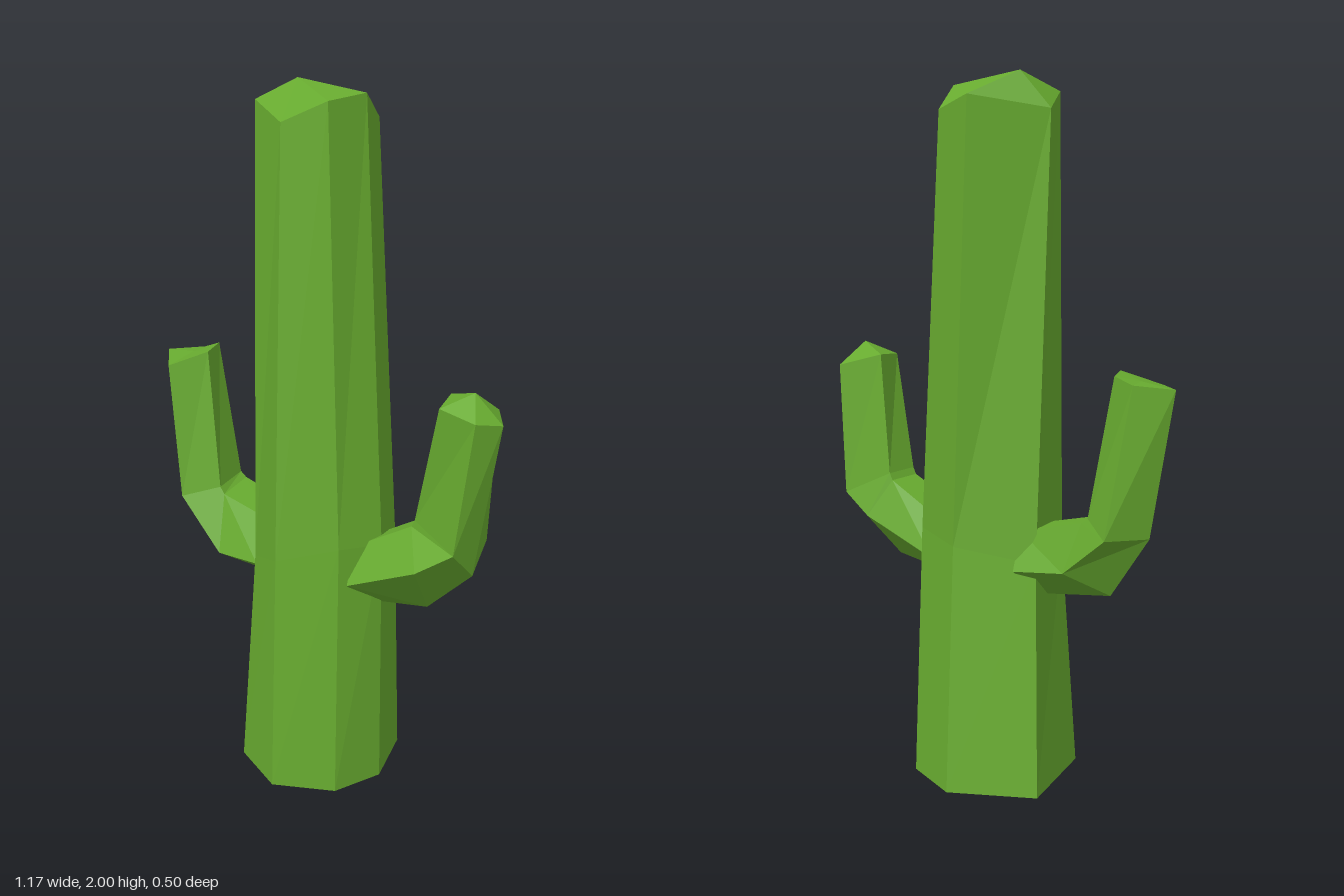
import * as THREE from 'three';

// Faceted skin over a stack of counter-clockwise rings, closed by a tip and a flat base
function loft(name, rings, tip, material) {
  const pos = [];
  const tri = (...corners) => corners.forEach((c) => pos.push(...c));
  const middle = (ring) => [0, 1, 2].map((k) => ring.reduce((sum, p) => sum + p[k], 0) / ring.length);
  const n = rings[0].length;
  const last = rings[rings.length - 1];
  const root = middle(rings[0]);
  for (let i = 0; i < n; i++) {
    const j = (i + 1) % n;
    for (let r = 0; r < rings.length - 1; r++) {
      const lo = rings[r], up = rings[r + 1];
      tri(lo[i], lo[j], up[j]);
      tri(lo[i], up[j], up[i]);
    }
    tri(last[i], last[j], tip || middle(last));
    tri(rings[0][j], rings[0][i], root);
  }
  const geometry = new THREE.BufferGeometry();
  geometry.setAttribute('position', new THREE.Float32BufferAttribute(pos, 3));
  geometry.computeVertexNormals(); // unshared corners give flat facets
  const mesh = new THREE.Mesh(geometry, material);
  mesh.name = name;
  return mesh;
}

export function createModel() {
  const green = new THREE.MeshStandardMaterial({ color: 0x67aa2f });
  green.name = 'cactus green';
  const group = new THREE.Group();
  group.name = 'cactus';

  // Seven-sided trunk: foot, waist at arm height, shoulder
  const trunk = [
    [[0, 0, 0.25], [0.17, 0, 0.17], [0.225, 0, 0.02], [0.16, 0, -0.18],
      [-0.01, 0, -0.25], [-0.24, 0, -0.13], [-0.18, 0, 0.16]],
    [[-0.005, 0.7, 0.216], [0.162, 0.75, 0.145], [0.222, 0.74, 0.02], [0.18, 0.72, -0.115],
      [0.02, 0.7, -0.175], [-0.19, 0.66, -0.07], [-0.138, 0.66, 0.14]],
    [[-0.02, 1.9, 0.155], [0.095, 1.955, 0.105], [0.13, 1.97, -0.02], [0.1, 1.9, -0.125],
      [-0.03, 1.935, -0.17], [-0.19, 1.9, -0.01], [-0.14, 1.95, 0.108]],
  ];
  group.add(loft('trunk', trunk, [-0.11, 2, -0.04], green));

  // Arms: root inside the trunk, two elbow rings, tip ring
  // Corner order: outer, front, inner front, inner back, back
  const leftArm = [
    [[0.15, 0.55, 0.01], [0.18, 0.642, 0.13], [0.15, 0.73, 0.06], [0.15, 0.73, -0.06], [0.15, 0.63, -0.11]],
    [[0.37, 0.585, 0.01], [0.4, 0.735, 0.13], [0.335, 0.83, 0.045], [0.335, 0.83, -0.065], [0.4, 0.72, -0.107]],
    [[0.51, 0.715, 0.01], [0.5, 0.8, 0.1], [0.345, 0.85, 0.045], [0.345, 0.85, -0.065], [0.49, 0.78, -0.1]],
    [[0.585, 1.155, 0.01], [0.545, 1.17, 0.085], [0.43, 1.19, 0.075], [0.4, 1.2, -0.035], [0.52, 1.165, -0.085]],
  ].map((ring) => ring.reverse());
  group.add(loft('leftArm', leftArm, [0.5, 1.23, 0.01], green));

  const rightArm = [
    [[-0.15, 0.55, 0.01], [-0.138, 0.63, 0.135], [-0.13, 0.745, 0.07], [-0.13, 0.745, -0.06], [-0.14, 0.64, -0.11]],
    [[-0.385, 0.585, 0.01], [-0.285, 0.627, 0.13], [-0.31, 0.79, 0.07], [-0.335, 0.8, -0.065], [-0.3, 0.66, -0.103]],
    [[-0.51, 0.768, 0], [-0.43, 0.775, 0.125], [-0.325, 0.81, 0.07], [-0.355, 0.815, -0.065], [-0.43, 0.77, -0.102]],
    [[-0.585, 1.18, -0.01], [-0.48, 1.17, 0.11], [-0.39, 1.21, 0.035], [-0.435, 1.21, -0.07], [-0.49, 1.19, -0.068]],
  ];
  group.add(loft('rightArm', rightArm, null, green));

  return group;
}
